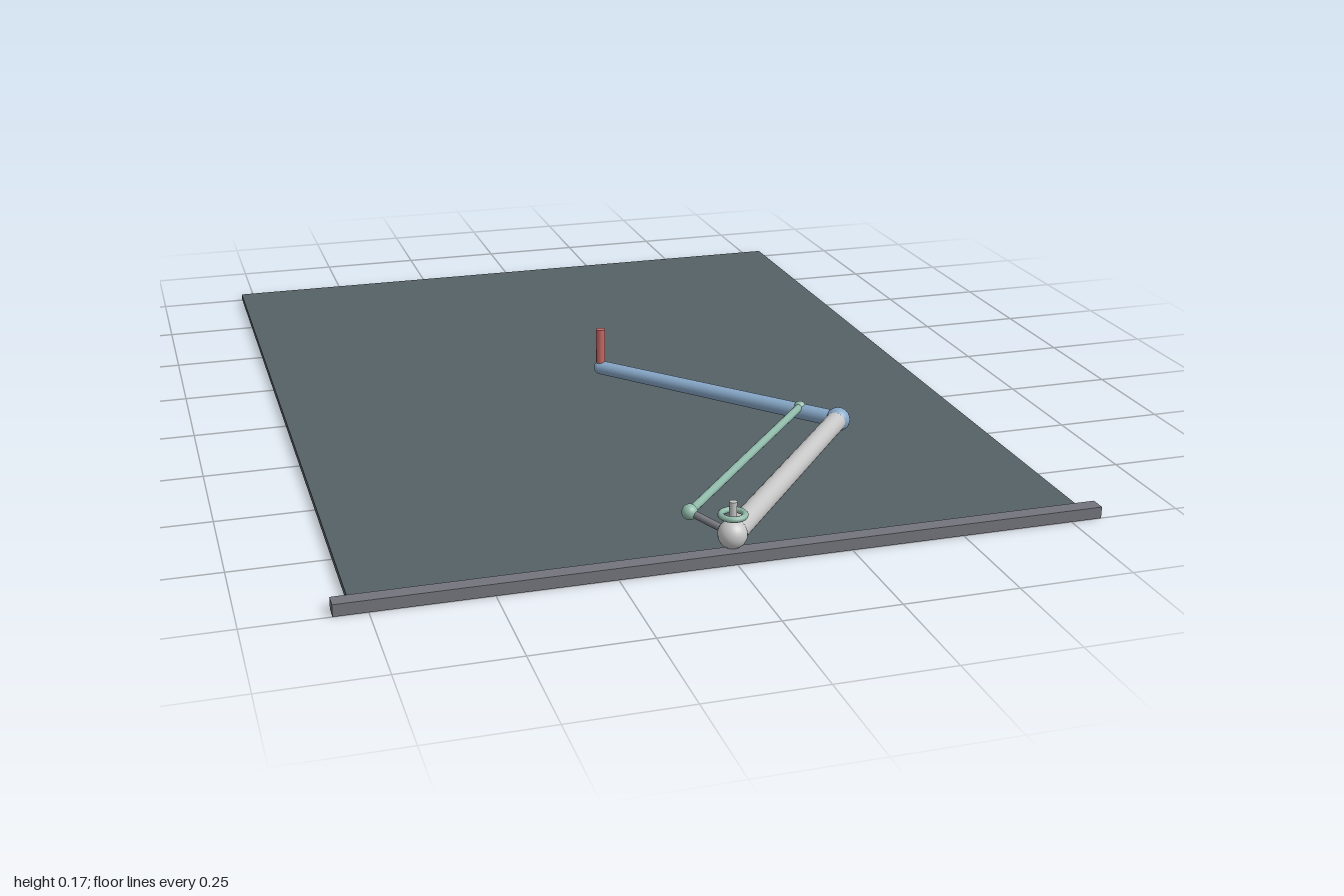
import * as THREE from 'three';

const mat = (name, color) => {
  const m = new THREE.MeshStandardMaterial({ color });
  m.name = name;
  return m;
};

export function createModel() {
  const model = new THREE.Group();
  model.name = 'draftingArm';
  const board = mat('slate', 0x566167);
  const steel = mat('railGrey', 0x74757c);
  const grey = mat('lightGrey', 0xc6c6c6);
  const blue = mat('blue', 0x87a8c8);
  const green = mat('green', 0x8fb8a8);
  const red = mat('red', 0xc46a66);

  const add = (name, geometry, material, p) => {
    const mesh = new THREE.Mesh(geometry, material);
    mesh.name = name;
    mesh.position.copy(p);
    model.add(mesh);
    return mesh;
  };
  const v = (x, y, z) => new THREE.Vector3(x, y, z);
  const ball = (name, p, r, m) => add(name, new THREE.SphereGeometry(r, 24, 16), m, p);
  // Round bar running from a to b, with a radius at each end
  const rod = (name, a, b, ra, rb, m) => {
    const d = b.clone().sub(a);
    const mesh = add(name, new THREE.CylinderGeometry(rb, ra, d.length(), 20), m, a.clone().lerp(b, 0.5));
    mesh.quaternion.setFromUnitVectors(v(0, 1, 0), d.normalize());
    return mesh;
  };

  // Joint centres
  const shoulder = v(0, 0.053, 0.965);
  const elbow = v(0.433, 0.066, 0.472);
  const tip = v(0, 0.066, -0.013);
  const crankEnd = v(-0.066, 0.076, 0.887);
  const linkEnd = v(0.367, 0.077, 0.4);

  // Board and front rail
  add('board', new THREE.BoxGeometry(1.57, 0.016, 1.98), board, v(0, 0.009, -0.01));
  add('frontRail', new THREE.BoxGeometry(1.64, 0.026, 0.034), steel, v(0, 0.013, 0.983));

  // Main arm
  ball('shoulderJoint', shoulder, 0.031, grey);
  rod('upperArm', shoulder, elbow, 0.025, 0.023, grey);
  ball('elbowJoint', elbow, 0.028, blue);
  rod('forearm', elbow, tip, 0.019, 0.017, blue);
  ball('forearmEnd', tip, 0.017, blue);
  rod('stylus', tip, v(0, 0.166, -0.013), 0.011, 0.011, red);

  // Parallel linkage
  rod('crank', shoulder, crankEnd, 0.008, 0.008, steel);
  ball('crankJoint', crankEnd, 0.017, green);
  rod('parallelLink', crankEnd, linkEnd, 0.009, 0.009, green);
  ball('linkJoint', linkEnd, 0.014, green);

  // Dial ring and pin above the shoulder
  const ring = add('dialRing', new THREE.TorusGeometry(0.025, 0.0065, 12, 32), green, v(0, 0.096, 0.965));
  ring.rotation.x = Math.PI / 2;
  rod('dialPin', shoulder, v(0, 0.125, 0.965), 0.008, 0.008, grey);
  return model;
}
